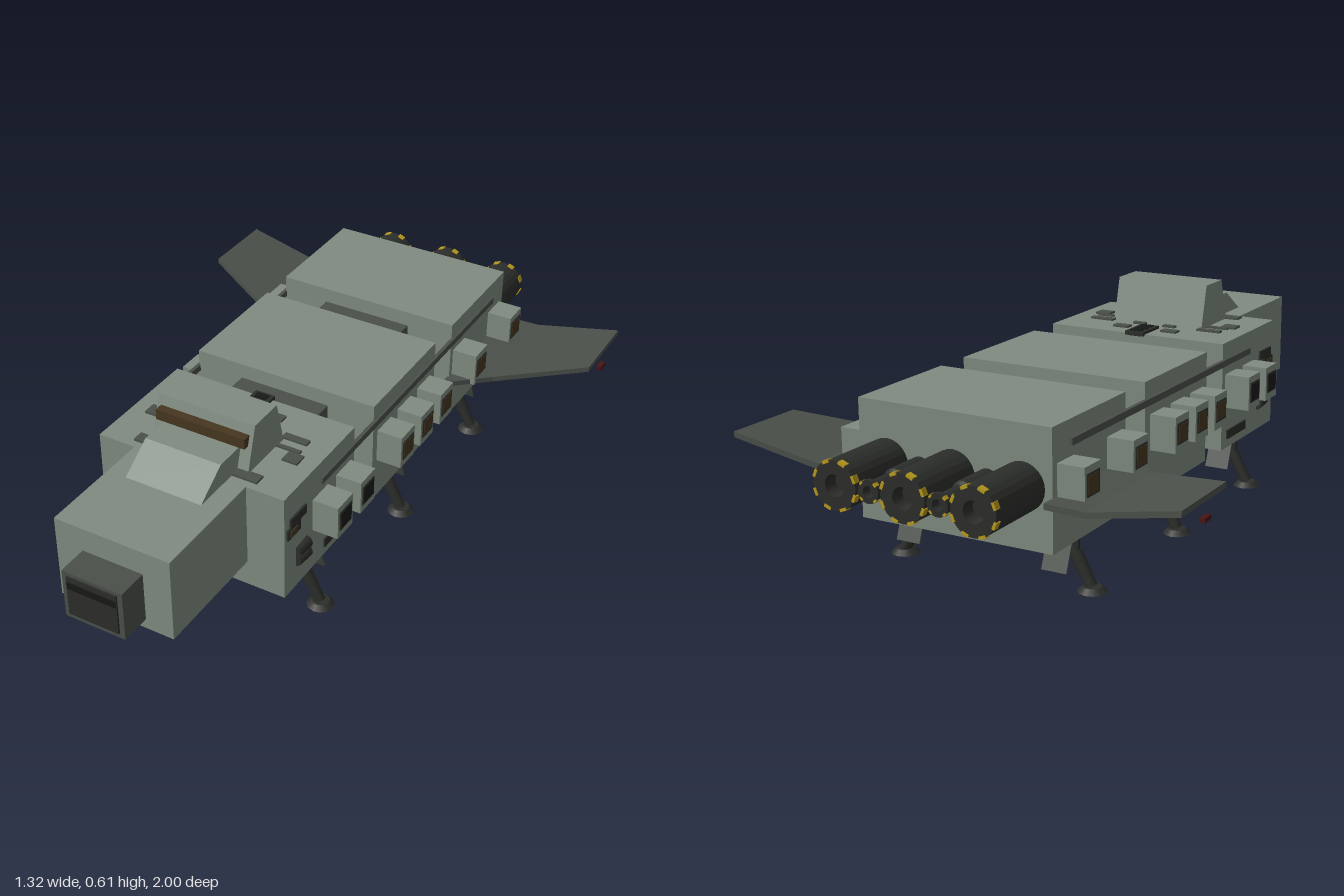
import * as THREE from 'three';

const mat = (color) => new THREE.MeshStandardMaterial({ color });
const HULL = mat(0x808b80), DARK = mat(0x4b504a), BLACK = mat(0x2c2e2b);
const SLOT = mat(0x171917), GLASS = mat(0x46371f), YELLOW = mat(0xb89a1e), RED = mat(0x4a1414);

export function createModel() {
  const root = new THREE.Group();
  root.name = 'spaceship';

  const add = (name, geo, material, x = 0, y = 0, z = 0, parent = root) => {
    const m = new THREE.Mesh(geo, material);
    m.name = name;
    m.position.set(x, y, z);
    parent.add(m);
    return m;
  };
  // Box given by its extents on each axis
  const box = (name, material, x0, x1, y0, y1, z0, z1, parent = root) =>
    add(name, new THREE.BoxGeometry(Math.abs(x1 - x0), y1 - y0, z1 - z0), material,
      (x0 + x1) / 2, (y0 + y1) / 2, (z0 + z1) / 2, parent);
  // Side profile [z, y] extruded across x
  const prism = (name, material, profile, halfWidth) => {
    const shape = new THREE.Shape(profile.map(([z, y]) => new THREE.Vector2(z, y)));
    const geo = new THREE.ExtrudeGeometry(shape, { depth: 2 * halfWidth, bevelEnabled: false });
    geo.rotateY(-Math.PI / 2).translate(halfWidth, 0, 0);
    return add(name, geo, material);
  };
  // Cylinder running between two points
  const rod = (name, material, a, b, rA, rB, parent) => {
    const p = new THREE.Vector3(...a), q = new THREE.Vector3(...b), d = q.clone().sub(p);
    const m = add(name, new THREE.CylinderGeometry(rB, rA, d.length(), 12), material, 0, 0, 0, parent);
    m.position.copy(p).add(q).multiplyScalar(0.5);
    m.quaternion.setFromUnitVectors(new THREE.Vector3(0, 1, 0), d.normalize());
    return m;
  };

  // Hull modules joined by a narrower spine
  [[0.19, 0.56], [-0.3, 0.08], [-0.78, -0.41]].forEach(([z0, z1]) =>
    box('hullModule', HULL, -0.285, 0.285, 0.158, 0.48, z0, z1));
  box('spineFront', DARK, -0.14, 0.14, 0.215, 0.435, 0.08, 0.19);
  box('spineRear', DARK, -0.14, 0.14, 0.215, 0.435, -0.41, -0.3);

  // Nose and sensor snout
  box('nose', HULL, -0.172, 0.172, 0.235, 0.48, 0.56, 0.905);
  box('snout', DARK, -0.09, 0.09, 0.265, 0.41, 0.905, 0.992);
  box('snoutFace', BLACK, -0.075, 0.075, 0.28, 0.4, 0.99, 0.997);
  box('snoutSlot', SLOT, -0.072, 0.072, 0.365, 0.385, 0.99, 1.0);

  // Guns under the nose
  for (let i = -2; i <= 2; i++) {
    const x = i * 0.064;
    box('gunBody', BLACK, x - 0.013, x + 0.013, 0.215, 0.236, 0.75, 0.86);
    const tip = add('gunTip', new THREE.CylinderGeometry(0.009, 0.009, 0.02, 10), YELLOW, x, 0.22, 0.862);
    tip.rotation.x = Math.PI / 2;
  }

  // Bridge and its sloped front fairing
  prism('bridge', HULL, [[0.51, 0.48], [0.472, 0.608], [0.365, 0.608], [0.333, 0.48]], 0.148);
  prism('bridgeFairing', HULL, [[0.68, 0.48], [0.585, 0.545], [0.45, 0.545], [0.45, 0.48]], 0.115);
  box('bridgeWindow', GLASS, -0.136, 0.136, 0.55, 0.58, 0.472, 0.506);

  // Roof and belly thruster packs
  for (const y of [0.482, 0.156]) {
    box('thrusterPack', BLACK, -0.03, 0.03, y - 0.006, y + 0.006, 0.18, 0.285);
    for (const z of [0.2, 0.232, 0.264])
      box('thrusterPort', SLOT, -0.018, 0.018, y - 0.009, y + 0.009, z - 0.011, z + 0.011);
  }
  box('roofRib', DARK, -0.22, 0.22, 0.478, 0.486, 0.36, 0.372);

  for (const s of [1, -1]) {
    // Roof fittings: x, z, width, length
    [[0.08, 0.257, 0.05, 0.028], [0.05, 0.315, 0.04, 0.018], [0.18, 0.32, 0.075, 0.022],
      [0.215, 0.397, 0.046, 0.04], [0.15, 0.52, 0.08, 0.034]].forEach(([x, z, w, l]) =>
      box('roofFitting', DARK, s * x - w / 2, s * x + w / 2, 0.476, 0.486, z - l / 2, z + l / 2));

    // Long side rail
    box('sideRail', DARK, s * 0.281, s * 0.292, 0.413, 0.432, -0.695, 0.375);

    // Side window pods
    [0.375, 0.25, 0.015, -0.107, -0.23, -0.468, -0.718].forEach((z, i) => {
      box('windowPod', HULL, s * 0.28, s * 0.361, 0.285, 0.385, z - 0.04, z + 0.04);
      box('windowFrame', BLACK, s * 0.355, s * 0.3635, 0.307, 0.366, z - 0.031, z + 0.031);
      box('podWindow', i < 2 ? SLOT : GLASS, s * 0.355, s * 0.365, 0.312, 0.361, z - 0.026, z + 0.026);
    });

    // Side thrusters and plate on the front module
    box('sideThrusterBase', BLACK, s * 0.28, s * 0.291, 0.375, 0.402, 0.455, 0.535);
    box('sideThrusterBase', BLACK, s * 0.28, s * 0.291, 0.343, 0.375, 0.485, 0.55);
    box('sideThrusterPort', GLASS, s * 0.28, s * 0.294, 0.35, 0.368, 0.505, 0.54);
    box('sidePlate', BLACK, s * 0.28, s * 0.29, 0.185, 0.212, 0.225, 0.355);
    for (const y of [0.24, 0.27]) {
      const jet = add('sideJet', new THREE.CylinderGeometry(0.016, 0.02, 0.055, 12), BLACK, s * 0.284, y, 0.473);
      jet.rotation.x = Math.PI / 2;
    }

    // Wing: flat inner panel and upswept outer panel
    [[[0.28, -0.368], [0.4, -0.475], [0.4, -0.822], [0.28, -0.815]],
      [[0.4, -0.475], [0.655, -0.595], [0.655, -0.836], [0.4, -0.822]]].forEach((pts) => {
      const shape = new THREE.Shape(pts.map(([x, z]) => new THREE.Vector2(s * x, -z)));
      const geo = new THREE.ExtrudeGeometry(shape, { depth: 0.016, bevelEnabled: false });
      geo.rotateX(-Math.PI / 2);
      const p = geo.attributes.position;
      for (let i = 0; i < p.count; i++)
        p.setY(i, p.getY(i) + 0.284 + Math.max(0, Math.abs(p.getX(i)) - 0.4) * 0.2);
      geo.computeVertexNormals();
      add('wing', geo, DARK);
    });
    box('wingLight', RED, s * 0.647, s * 0.661, 0.287, 0.299, -0.725, -0.69);

    // Landing legs
    for (const z of [0.375, -0.107, -0.595]) {
      const leg = new THREE.Group();
      leg.name = 'landingLeg';
      root.add(leg);
      box('legWell', SLOT, s * 0.16, s * 0.26, 0.148, 0.16, z - 0.042, z + 0.042, leg);
      for (const dz of [-0.03, 0.03])
        box('legHinge', YELLOW, s * 0.2, s * 0.222, 0.144, 0.15, z + dz - 0.006, z + dz + 0.006, leg);
      rod('upperStrut', BLACK, [s * 0.208, 0.16, z], [s * 0.245, 0.09, z], 0.013, 0.013, leg);
      rod('lowerStrut', BLACK, [s * 0.24, 0.1, z], [s * 0.288, 0.012, z], 0.018, 0.016, leg);
      rod('braceStrut', BLACK, [s * 0.25, 0.155, z], [s * 0.243, 0.055, z], 0.006, 0.006, leg);
      add('foot', new THREE.CylinderGeometry(0.026, 0.04, 0.014, 12), BLACK, s * 0.29, 0.007, z, leg);
      const door = add('legDoor', new THREE.BoxGeometry(0.073, 0.095, 0.005), DARK,
        s * 0.223, 0.11, z - 0.06, leg);
      door.rotation.x = 0.38;
    }
  }

  // Engines: hollow-ended bell turned on its axis, pointing aft
  const engine = (name, x, r, profile) => {
    const geo = new THREE.LatheGeometry(profile.map(([a, b]) => new THREE.Vector2(a * r, b)), 24);
    const m = add(name, geo, new THREE.MeshStandardMaterial({ color: 0x2c2e2b, side: THREE.DoubleSide, flatShading: true }),
      x, 0.32, -0.77);
    m.rotation.x = -Math.PI / 2;
    return m;
  };
  for (const x of [-0.2, 0, 0.2]) {
    engine('mainEngine', x, 0.064, [[1, 0], [1, 0.225], [0.45, 0.225], [0.38, 0.19], [0, 0.19]]);
    for (let i = 0; i < 8; i++) {
      const a = (i + 0.5) * Math.PI / 4;
      const mark = add('engineMark', new THREE.BoxGeometry(0.008, 0.02, 0.018), YELLOW,
        x + Math.cos(a) * 0.062, 0.32 + Math.sin(a) * 0.062, -0.988);
      mark.rotation.z = a;
    }
  }
  for (const x of [-0.1, 0.1]) {
    engine('smallEngine', x, 0.03, [[1, 0], [1, 0.12], [0.75, 0.13], [0.75, 0.2], [1, 0.21], [1, 0.225], [0.5, 0.225], [0.4, 0.2], [0, 0.2]]);
    for (let i = 0; i < 4; i++) {
      const a = (i + 0.5) * Math.PI / 2;
      const mark = add('engineMark', new THREE.BoxGeometry(0.006, 0.01, 0.014), YELLOW,
        x + Math.cos(a) * 0.028, 0.32 + Math.sin(a) * 0.028, -0.989);
      mark.rotation.z = a;
    }
  }
  return root;
}
